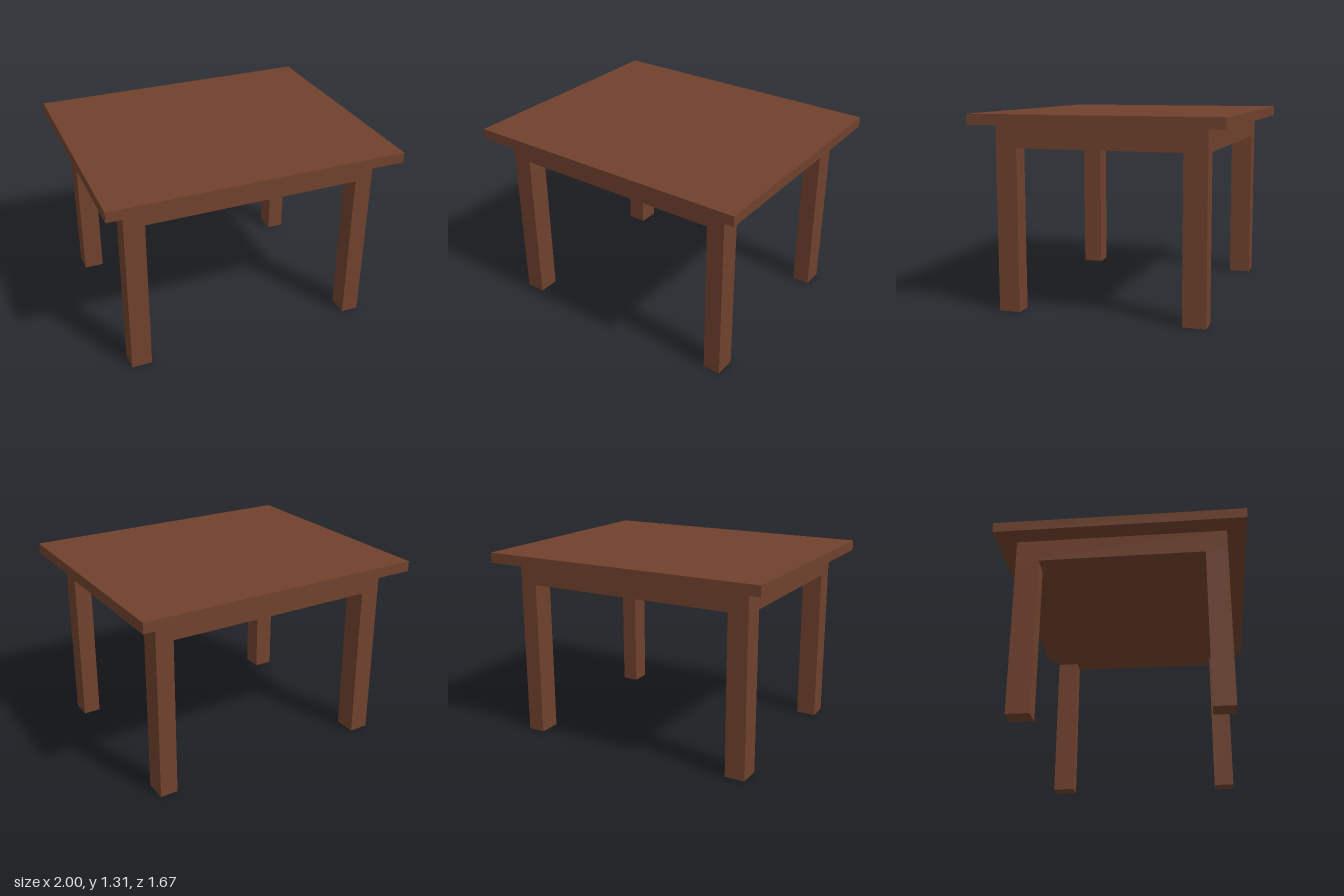
import * as THREE from 'three';

export function createModel() {
  const model = new THREE.Group();
  model.name = 'table';
  const wood = new THREE.MeshStandardMaterial({ color: 0x70412d });
  wood.name = 'brown wood';

  // Box given by its extents along each axis
  function block(name, [x0, x1], [y0, y1], [z0, z1]) {
    const mesh = new THREE.Mesh(new THREE.BoxGeometry(x1 - x0, y1 - y0, z1 - z0), wood);
    mesh.name = name;
    mesh.position.set((x0 + x1) / 2, (y0 + y1) / 2, (z0 + z1) / 2);
    model.add(mesh);
  }

  const apronBottom = 1.088, topBottom = 1.242, topHeight = 1.312;

  // Overhanging slab and the solid apron under it
  block('tableTop', [-1, 1], [topBottom, topHeight], [-0.835, 0.835]);
  block('apron', [-0.865, 0.858], [apronBottom, topBottom], [-0.7, 0.704]);

  // Legs flush with the apron corners, slightly uneven in width
  const legX = { Right: [-0.865, -0.727], Left: [0.737, 0.858] };
  const legZ = { front: [0.56, 0.704], back: [-0.7, -0.546] };
  for (const [end, z] of Object.entries(legZ)) {
    for (const [side, x] of Object.entries(legX)) {
      block(`${end}${side}Leg`, x, [0, apronBottom], z);
    }
  }
  return model;
}
